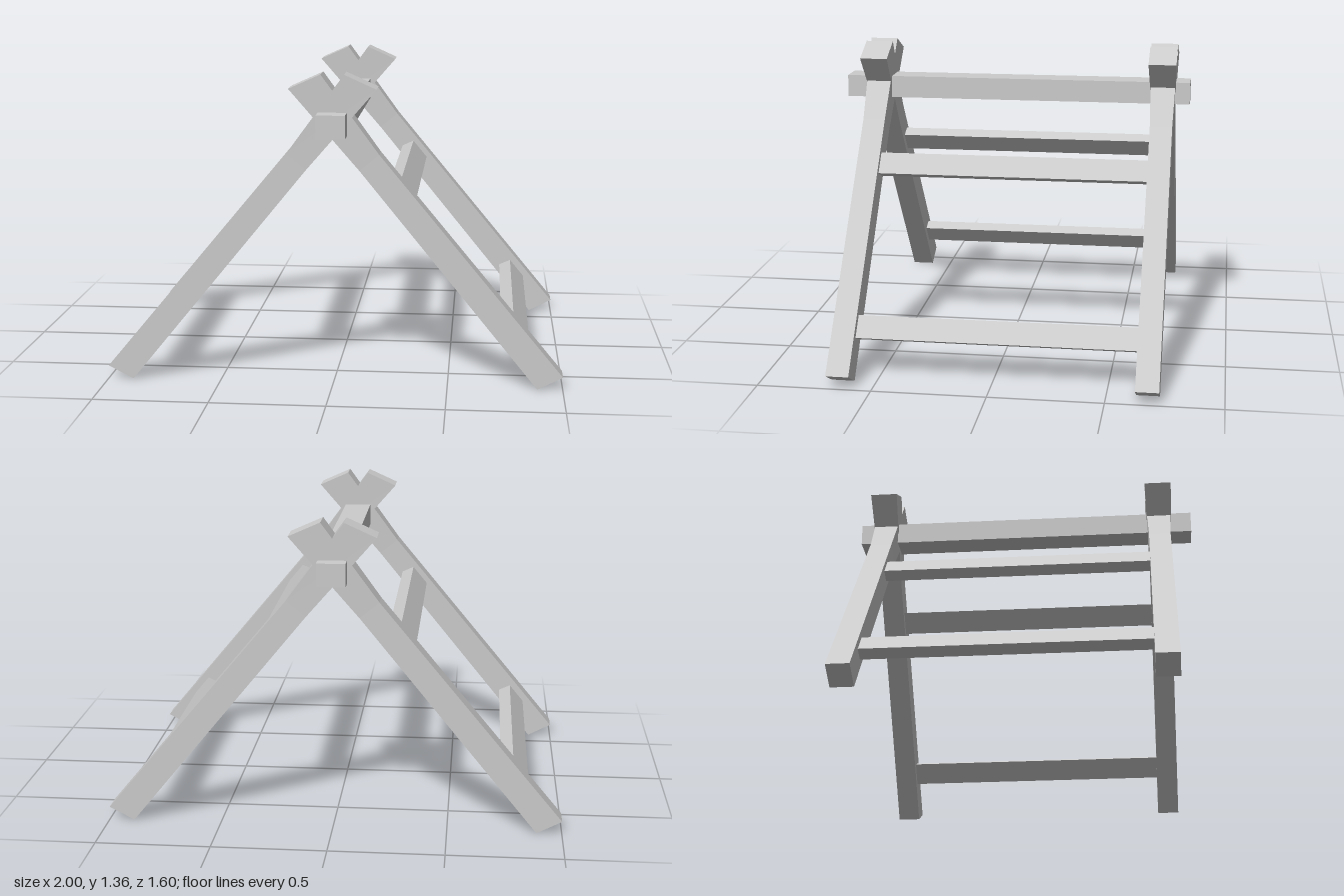
import * as THREE from 'three';

const material = new THREE.MeshStandardMaterial({ color: 0xcccccc, flatShading: true });

// Square timber lofted through sections [outerX, outerY, innerX, innerY, halfDepth], bottom to top
function loftTimber(sections) {
  const rings = sections.map(([ox, oy, ix, iy, d]) => [
    [ox, oy, d], [ox, oy, -d], [ix, iy, -d], [ix, iy, d],
  ]);
  const positions = [];
  const quad = (a, b, c, d) => positions.push(...a, ...b, ...c, ...a, ...c, ...d);
  for (let i = 0; i < rings.length - 1; i++) {
    for (let j = 0; j < 4; j++) {
      const k = (j + 1) % 4;
      quad(rings[i][j], rings[i][k], rings[i + 1][k], rings[i + 1][j]);
    }
  }
  const top = rings[rings.length - 1];
  const bottom = rings[0];
  quad(...top);
  quad(bottom[3], bottom[2], bottom[1], bottom[0]);
  const geometry = new THREE.BufferGeometry();
  geometry.setAttribute('position', new THREE.Float32BufferAttribute(positions, 3));
  geometry.computeVertexNormals();
  return geometry;
}

// Rung with a slanted cross-section, hung from its top edge and running along z
function rungGeometry(x, y, length) {
  const shape = new THREE.Shape([
    new THREE.Vector2(x, y),
    new THREE.Vector2(x - 0.055, y - 0.025),
    new THREE.Vector2(x + 0.013, y - 0.107),
    new THREE.Vector2(x + 0.068, y - 0.082),
  ]);
  return new THREE.ExtrudeGeometry(shape, { depth: length, bevelEnabled: false })
    .translate(0, 0, -length / 2);
}

export function createModel() {
  const model = new THREE.Group();
  const add = (name, geometry, z, turned) => {
    const mesh = new THREE.Mesh(geometry, material);
    mesh.name = name;
    mesh.position.z = z;
    if (turned) mesh.rotation.y = Math.PI;
    model.add(mesh);
  };

  // Ridge beam resting in the crossed legs
  add('ridgeBeam', new THREE.BoxGeometry(0.124, 0.1, 1.6).translate(0, 1.15, 0), 0, false);

  // Straight leg that flares above the crossing
  const leg = loftTimber([
    [1, 0.057, 0.89, 0, 0.0505],
    [0.2, 1.02, 0.115, 0.95, 0.0505],
    [-0.05, 1.362, -0.188, 1.3, 0.0625],
  ]);
  const frontZ = 0.647;
  const backZ = -0.677;
  const rungs = {
    upperRung: rungGeometry(0.283, 0.882, 1.225),
    lowerRung: rungGeometry(0.787, 0.266, 1.225),
  };

  // Each side is the other one turned half way round
  for (const [side, turned] of [['left', false], ['right', true]]) {
    add(`${side}FrontLeg`, leg, frontZ, turned);
    add(`${side}BackLeg`, leg, backZ, turned);
    for (const [name, geometry] of Object.entries(rungs)) {
      add(`${side}${name[0].toUpperCase()}${name.slice(1)}`, geometry, (frontZ + backZ) / 2, turned);
    }
  }
  return model;
}
